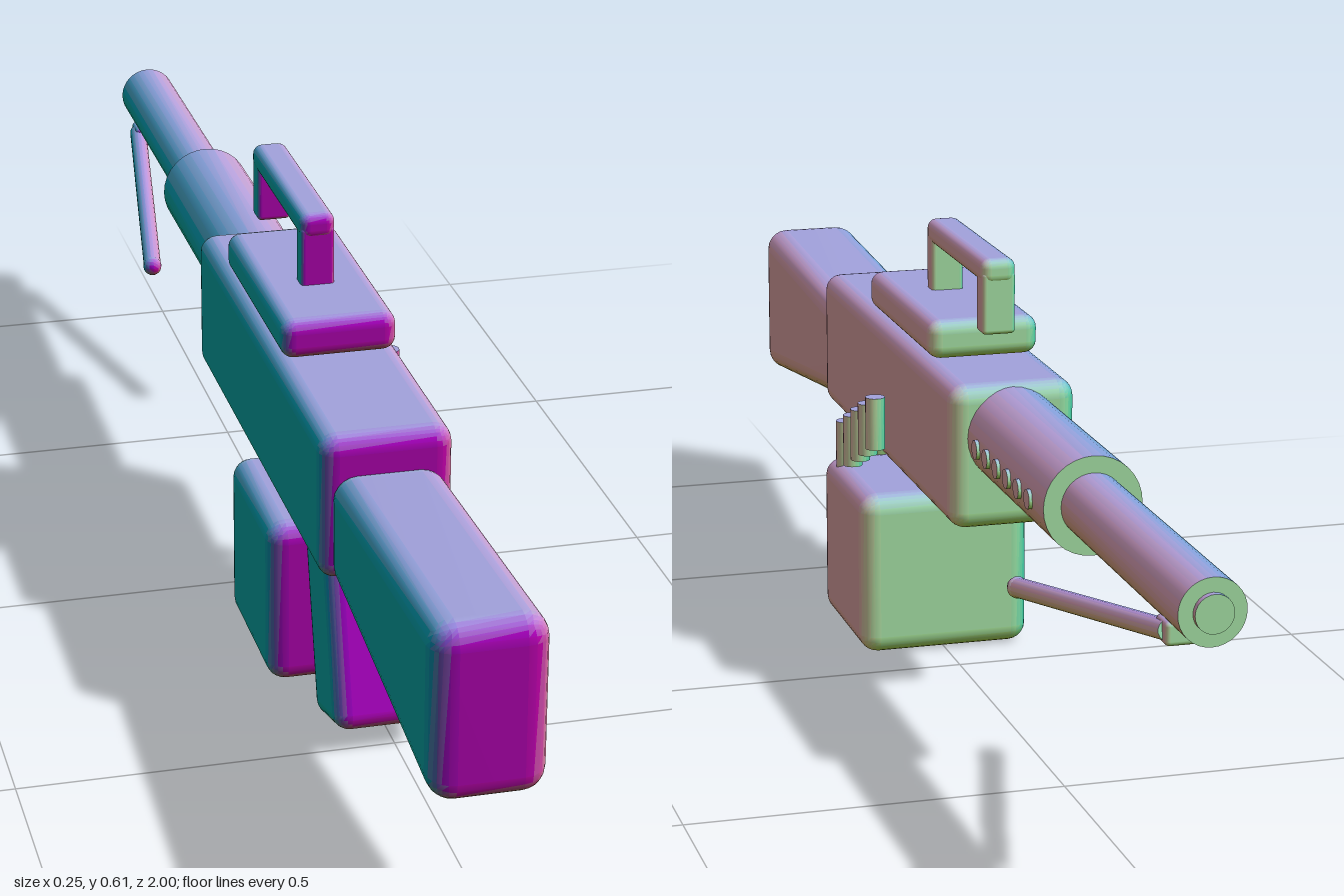
import * as THREE from 'three';
import { RoundedBoxGeometry } from 'three/addons/geometries/RoundedBoxGeometry.js';
import { mergeVertices } from 'three/addons/utils/BufferGeometryUtils.js';

// One material per facing direction: red grows to +x, green to -z, blue to +y
const materials = new Map();
function materialFor(normal) {
  const n = normal.clone().multiplyScalar(6).round().divideScalar(6);
  const key = n.toArray().map((v) => v.toFixed(2)).join();
  if (!materials.has(key)) {
    const tint = (v) => 0.36 * (1 + v);
    const material = new THREE.MeshStandardMaterial();
    material.color.setRGB(tint(n.x), tint(-n.z), tint(n.y));
    materials.set(key, material);
  }
  return materials.get(key);
}

// Sort the triangles of a placed mesh into groups by the way they face
function paint(mesh) {
  const { geometry } = mesh;
  const { position, normal } = geometry.attributes;
  const count = geometry.index ? geometry.index.count : position.count;
  const buckets = new Map();
  const sum = new THREE.Vector3(), n = new THREE.Vector3();
  for (let i = 0; i < count; i += 3) {
    const corners = [0, 1, 2].map((k) => (geometry.index ? geometry.index.getX(i + k) : i + k));
    sum.set(0, 0, 0);
    for (const c of corners) sum.add(n.fromBufferAttribute(normal, c));
    const material = materialFor(sum.normalize().applyQuaternion(mesh.quaternion));
    if (!buckets.has(material)) buckets.set(material, []);
    buckets.get(material).push(...corners);
  }
  geometry.clearGroups();
  geometry.setIndex([...buckets.values()].flat());
  let start = 0;
  [...buckets.values()].forEach((indices, slot) => {
    geometry.addGroup(start, indices.length, slot);
    start += indices.length;
  });
  mesh.material = [...buckets.keys()];
}

export function createModel() {
  const model = new THREE.Group();
  const cx = -0.02; // centre line of the body

  function add(name, geometry, x = 0, y = 0, z = 0) {
    const mesh = new THREE.Mesh(geometry);
    mesh.name = name;
    mesh.position.set(x, y, z);
    model.add(mesh);
    return mesh;
  }

  // Rounded box given by its x centre, width and y / z extents
  function box(name, x, width, y0, y1, z0, z1, radius) {
    const geometry = new RoundedBoxGeometry(width, y1 - y0, z1 - z0, 3, radius);
    return add(name, geometry, x, (y0 + y1) / 2, (z0 + z1) / 2);
  }

  // Cylinder between two points
  function rod(name, a, b, radius, sides = 24) {
    const from = new THREE.Vector3(...a), to = new THREE.Vector3(...b);
    const axis = to.clone().sub(from);
    const mesh = add(name, new THREE.CylinderGeometry(radius, radius, axis.length(), sides));
    mesh.position.copy(from).add(to).multiplyScalar(0.5);
    mesh.quaternion.setFromUnitVectors(new THREE.Vector3(0, 1, 0), axis.normalize());
    return mesh;
  }

  // Receiver and top cover
  box('receiver', cx, 0.174, 0.262, 0.461, -0.2, 0.53, 0.024);
  box('topCover', cx, 0.155, 0.463, 0.517, -0.055, 0.285, 0.018);

  // Carrying handle
  box('handleBar', cx, 0.048, 0.581, 0.616, -0.128, 0.165, 0.013);
  box('handleRearPost', cx, 0.046, 0.505, 0.598, 0.133, 0.163, 0.006);
  box('handleFrontPost', cx, 0.046, 0.512, 0.598, -0.126, -0.092, 0.006);

  // Stock: a rounded box that grows taller towards the butt
  const stock = new RoundedBoxGeometry(0.146, 1, 0.49, 3, 0.032);
  stock.deleteAttribute('uv');
  stock.deleteAttribute('normal');
  const p = stock.attributes.position;
  for (let i = 0; i < p.count; i++) {
    const t = (p.getZ(i) + 0.245) / 0.49;
    const bottom = THREE.MathUtils.lerp(0.264, 0.198, t);
    const top = THREE.MathUtils.lerp(0.41, 0.434, t);
    // keep the corner rounding, stretch only the straight middle
    const y = p.getY(i), edge = 0.5 - Math.abs(y);
    p.setY(i, y > 0 ? top - edge : bottom + edge);
  }
  const smoothStock = mergeVertices(stock, 1e-5);
  smoothStock.computeVertexNormals();
  add('stock', smoothStock, cx, 0, 0.755);

  // Barrel, shroud and muzzle
  rod('barrelShroud', [cx, 0.391, -0.19], [cx, 0.391, -0.546], 0.065, 32);
  rod('barrel', [cx, 0.392, -0.5], [cx, 0.392, -0.992], 0.042, 32);
  rod('muzzle', [cx, 0.392, -0.98], [cx, 0.392, -1], 0.024);

  // Vent studs along the left side of the shroud
  for (let i = 0; i < 6; i++) {
    const z = -0.245 - i * 0.048;
    rod('ventStud', [0.03, 0.388, z], [0.049, 0.388, z], 0.013, 16);
  }

  // Folded bipod
  box('bipodMount', cx, 0.075, 0.336, 0.366, -0.94, -0.9, 0.006);
  for (const side of [-1, 1]) {
    const foot = [cx + side * 0.09, 0.284, -0.52];
    rod('bipodLeg', [cx + side * 0.03, 0.352, -0.925], foot, 0.013, 16);
    add('bipodFoot', new THREE.SphereGeometry(0.014, 12, 8), ...foot);
  }

  // Pistol grip, leaning back
  const grip = add('grip', new RoundedBoxGeometry(0.13, 0.245, 0.128, 3, 0.022), cx, 0.145, 0.437);
  grip.rotation.x = -0.27;

  // Trigger and guard
  const guard = add('triggerGuard', new THREE.TorusGeometry(0.045, 0.008, 8, 20, Math.PI), cx, 0.208, 0.34);
  guard.rotation.set(Math.PI, Math.PI / 2, 0, 'YXZ');
  const trigger = box('trigger', cx, 0.02, 0.185, 0.265, 0.342, 0.358, 0.004);
  trigger.rotation.x = 0.15;

  // Ammunition box and its belt of rounds
  box('ammoBox', 0, 0.245, 0.003, 0.237, 0.07, 0.312, 0.026);
  for (let i = 0; i < 5; i++) {
    const z = 0.088 + i * 0.044, top = 0.38 - i * 0.02;
    rod('beltRound', [0.099, top - 0.075, z], [0.099, top, z], 0.014, 16);
  }

  model.children.forEach(paint);
  return model;
}
